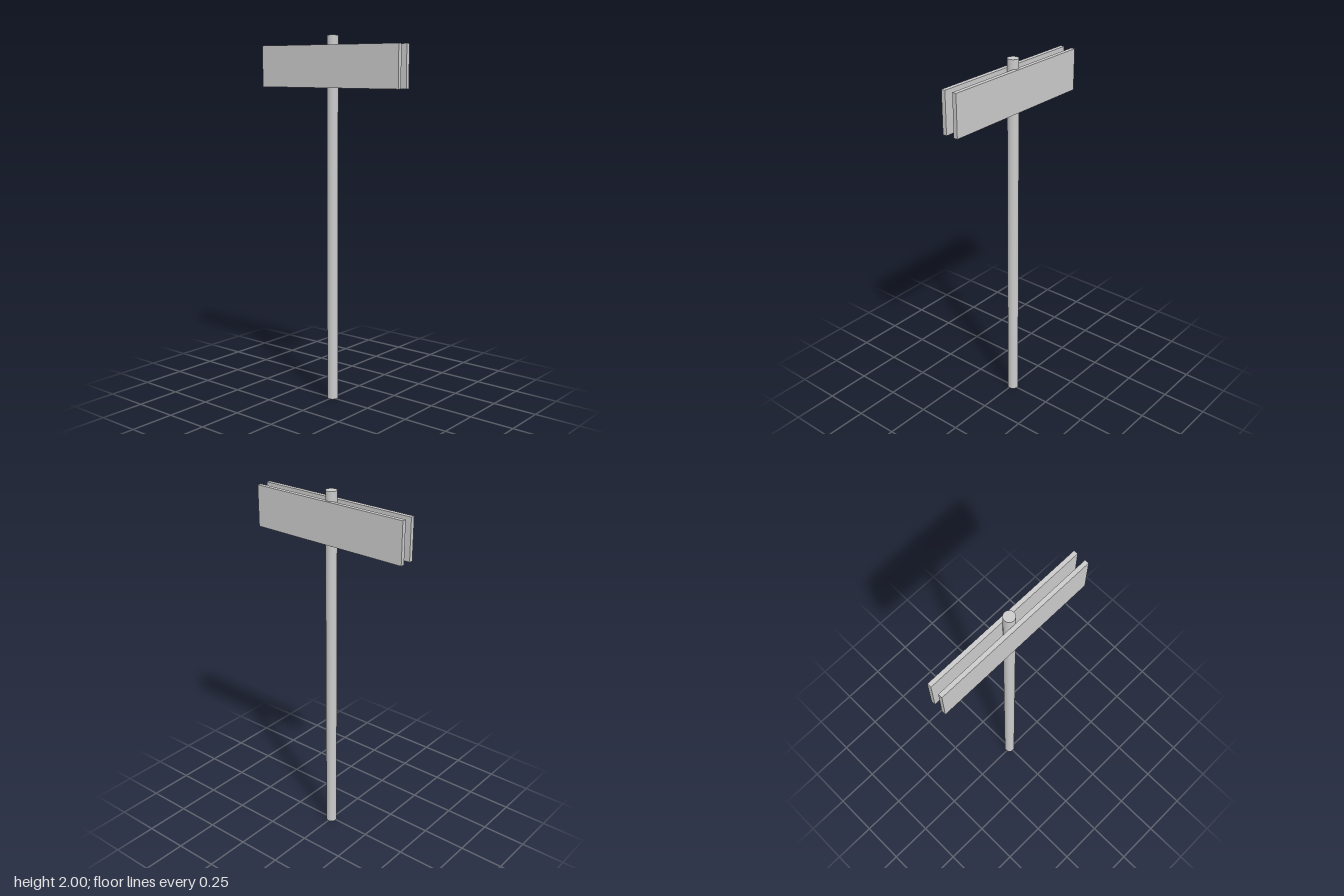
import * as THREE from 'three';

export function createModel() {
  const model = new THREE.Group();
  model.name = 'signpost';
  const material = new THREE.MeshStandardMaterial({ color: 0xcccccc });

  // Round pole, set slightly behind the middle of the two panels
  const pole = new THREE.Mesh(new THREE.CylinderGeometry(0.03, 0.03, 2, 32), material);
  pole.name = 'pole';
  pole.position.set(0, 1, -0.005);
  model.add(pole);

  // Matching sign panels in front of and behind the pole
  const panelGeometry = new THREE.BoxGeometry(0.924, 0.225, 0.023);
  for (const [name, side] of [['frontPanel', 1], ['backPanel', -1]]) {
    const panel = new THREE.Mesh(panelGeometry, material);
    panel.name = name;
    panel.position.set(0, 1.8375, side * 0.0345);
    model.add(panel);
  }

  return model;
}
